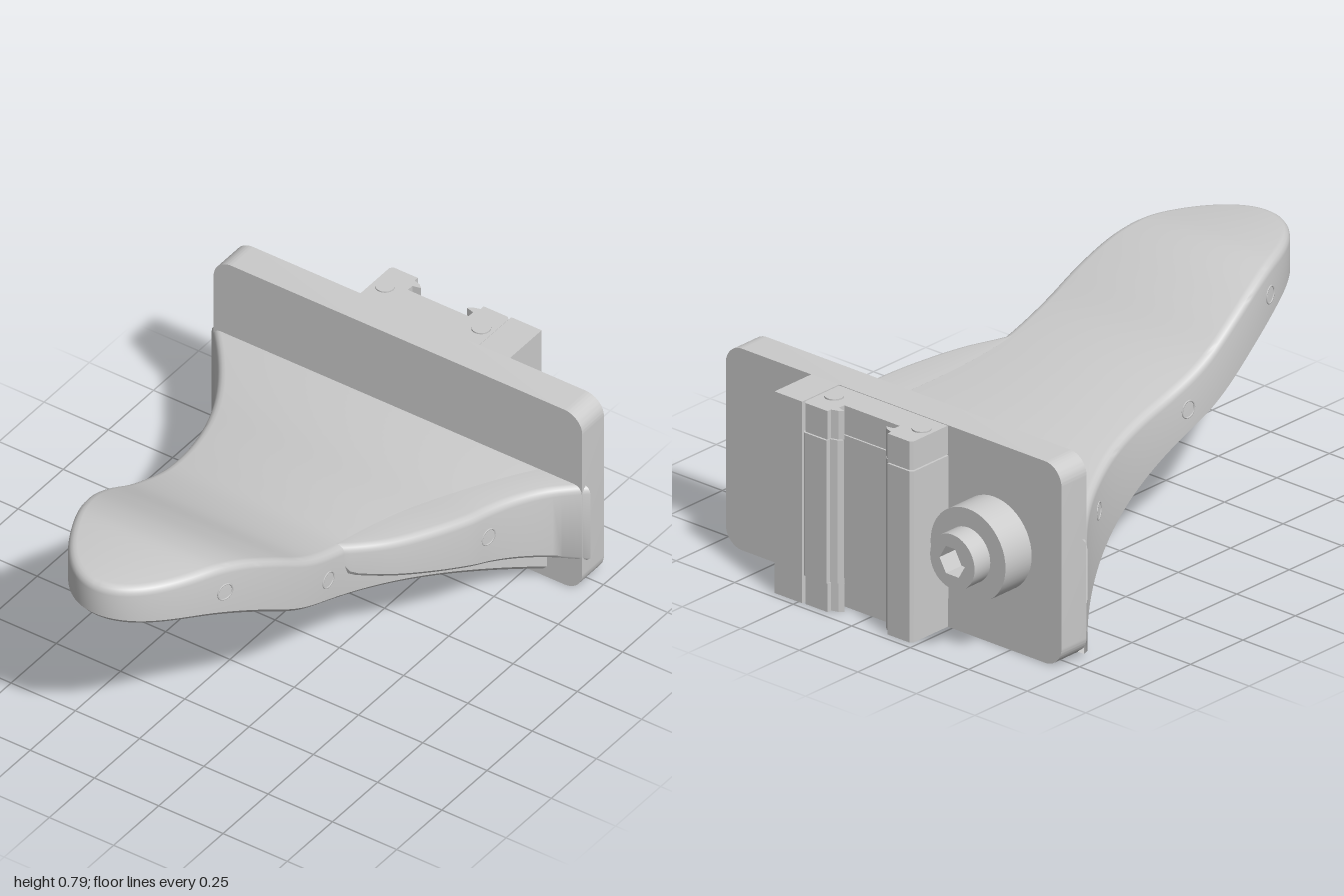
import * as THREE from 'three';
import { toCreasedNormals } from 'three/addons/utils/BufferGeometryUtils.js';

const grey = new THREE.MeshStandardMaterial({ color: 0xcccccc, side: THREE.DoubleSide });

function add(parent, name, geometry, x = 0, y = 0, z = 0) {
  const mesh = new THREE.Mesh(geometry, grey);
  mesh.name = name;
  mesh.position.set(x, y, z);
  parent.add(mesh);
  return mesh;
}

// Smooth height curve through [z, y] points
function heightCurve(pts) {
  const n = pts.length - 1;
  const slope = (i) => {
    const a = pts[Math.max(0, i - 1)], b = pts[Math.min(n, i + 1)];
    return (b[1] - a[1]) / (b[0] - a[0]);
  };
  return (z) => {
    let i = 0;
    while (i < n - 1 && z > pts[i + 1][0]) i++;
    const [z0, y0] = pts[i], [z1, y1] = pts[i + 1];
    const h = z1 - z0, t = (z - z0) / h, t2 = t * t, t3 = t2 * t;
    return (2 * t3 - 3 * t2 + 1) * y0 + (t3 - 2 * t2 + t) * h * slope(i)
      + (3 * t2 - 2 * t3) * y1 + (t3 - t2) * h * slope(i + 1);
  };
}

const topY = heightCurve([[-0.7, 0.42], [-0.4, 0.45], [-0.2, 0.48], [0, 0.51], [0.14, 0.537],
  [0.3, 0.595], [0.46, 0.685], [0.58, 0.745], [0.68, 0.777], [0.76, 0.785], [1, 0.785]]);
const bottomY = heightCurve([[-0.7, 0.02], [0, 0.281], [0.2, 0.357], [0.36, 0.418], [0.59, 0.54],
  [0.76, 0.605], [1, 0.65]]);
const wingBottomY = heightCurve([[-0.7, 0.12], [-0.3, 0.264], [0.08, 0.4], [0.11, 0.42], [0.13, 0.46]]);
const wingX = heightCurve([[-0.7, 0.735], [-0.68, 0.715], [-0.6, 0.648], [-0.5, 0.597], [-0.4, 0.567],
  [-0.3, 0.55], [-0.15, 0.505], [0, 0.44], [0.13, 0.35]]);

// Half width of the saddle: elliptical nose, flaring toward the plate
function halfWidth(z, flare) {
  if (z > 0.2) return 0.355 * Math.sqrt(Math.max(0, 1 - ((z - 0.2) / 0.8) ** 2));
  return 0.355 + flare * ((0.2 - z) / 0.88) ** 2.2;
}

// Skin over equal rings, each clockwise when seen from the front
function loft(rings) {
  const n = rings[0].length, index = [];
  for (let i = 0; i < rings.length - 1; i++) {
    for (let j = 0; j < n; j++) {
      const a = i * n + j, b = i * n + (j + 1) % n, c = b + n, d = a + n;
      index.push(a, d, b, b, d, c);
    }
  }
  const g = new THREE.BufferGeometry();
  g.setAttribute('position', new THREE.Float32BufferAttribute(rings.flat(2), 3));
  g.setIndex(index);
  return toCreasedNormals(g.toNonIndexed(), 0.6);
}

// Fillet steps: [inset, drop]
const R = 0.03;
const fillet = [0, 1, 2, 3, 4].map((k) => {
  const a = (k / 4) * Math.PI / 2;
  return [R * (1 - Math.cos(a)), R * (1 - Math.sin(a))];
});

function saddleGeometry() {
  const rings = [];
  const N = 80;
  for (let i = 0; i <= N; i++) {
    const z = -0.7 + 1.7 * Math.sin((i / N) * Math.PI / 2);
    const point = (side, dx, dz, height) => {
      const w = halfWidth(z, side < 0 ? 0.365 : 0.225);
      const zz = -0.7 + (z + 0.7) * (1 - dz / 1.7);
      return [side * (w - dx * Math.min(1, w / 0.355)), height(zz), zz];
    };
    const half = (side) => [
      point(side, 0.115, 0.16, (q) => Math.max(topY(q) - 0.125, bottomY(q))),
      point(side, 0.115, 0.16, bottomY),
      point(side, 0.015, 0.015, bottomY),
      point(side, 0, 0, (q) => bottomY(q) + 0.015),
      ...fillet.map(([inset, drop]) => point(side, inset, inset, (q) => topY(q) - drop)),
    ];
    rings.push([...half(-1), ...half(1).reverse()]);
  }
  return loft(rings);
}

function wingGeometry() {
  const rings = [];
  for (let i = 0; i <= 36; i++) {
    const z = -0.7 + 0.83 * (i / 36);
    const inner = halfWidth(z, 0.225) - R, outer = wingX(z), low = wingBottomY(z);
    rings.push([
      [inner, low, z], [inner, topY(z), z],
      ...fillet.slice().reverse().map(([inset, drop]) => [outer - inset, topY(z) - drop, z]),
      [outer, low + 0.012, z], [outer - 0.012, low, z],
    ]);
  }
  return loft(rings);
}

function plateGeometry() {
  const w = 0.717, h = 0.705, r = 0.07, s = new THREE.Shape();
  s.absarc(w - r, r, r, -Math.PI / 2, 0);
  s.absarc(w - r, h - r, r, 0, Math.PI / 2);
  s.absarc(-w + r, h - r, r, Math.PI / 2, Math.PI);
  s.absarc(-w + r, r, r, Math.PI, Math.PI * 1.5);
  const g = new THREE.ExtrudeGeometry(s, { depth: 0.12, bevelEnabled: false, curveSegments: 10 });
  return toCreasedNormals(g, 0.5);
}

// Round head with a hexagonal socket, along z
function socketGeometry(radius, hex, depth) {
  const s = new THREE.Shape().absarc(0, 0, radius, 0, Math.PI * 2);
  const hole = new THREE.Path();
  for (let i = 0; i <= 6; i++) {
    const a = -i * Math.PI / 3;
    hole[i ? 'lineTo' : 'moveTo'](hex * Math.cos(a), hex * Math.sin(a));
  }
  s.holes.push(hole);
  const g = new THREE.ExtrudeGeometry(s, { depth, bevelEnabled: false, curveSegments: 20 });
  return toCreasedNormals(g, 0.5);
}

// Channel rail section with two inward lips, extruded upward
function railGeometry(height, scale) {
  const side = [[0.235, 0], [0.235, 0.165], [0.225, 0.175], [0.13, 0.175], [0.13, 0.158],
    [0.105, 0.15], [0.09, 0.137], [0.12, 0.13], [0.12, 0.105]];
  const all = [...side, ...side.map(([x, d]) => [-x, d]).reverse()];
  const s = new THREE.Shape(all.map(([x, d]) => new THREE.Vector2(x * scale, d * scale)));
  return new THREE.ExtrudeGeometry(s, { depth: height, bevelEnabled: false }).rotateX(-Math.PI / 2);
}

export function createModel() {
  const model = new THREE.Group();
  model.name = 'saddleBracket';

  add(model, 'mountingPlate', plateGeometry(), 0, 0, -0.8);
  add(model, 'saddleShell', saddleGeometry());
  add(model, 'sideWing', wingGeometry());

  // Rims of the cross holes, lying on the side walls
  for (const side of [-1, 1]) {
    for (const [z, y] of [[0.68, 0.675], [0.21, 0.455], [-0.38, 0.345]]) {
      const outline = (q) => (side > 0 && q < 0 ? wingX(q) : halfWidth(q, 0.365));
      const dx = (outline(z + 0.02) - outline(z - 0.02)) / 0.04;
      const rim = add(model, 'holeRim', new THREE.TorusGeometry(0.029, 0.003, 6, 24), side * outline(z), y, z);
      rim.rotation.y = Math.atan2(side, -dx);
    }
  }

  // Plate screws
  for (const x of [-0.177, 0.177]) {
    add(model, 'plateScrew', socketGeometry(0.052, 0.024, 0.008), x, 0.24, -0.684);
  }

  // Rear rail with end caps and cap screws
  const rail = new THREE.Group();
  rail.name = 'rearRail';
  rail.position.z = -0.8;
  model.add(rail);
  add(rail, 'railBody', railGeometry(0.5, 1), 0, 0.1, 0);
  for (const y of [0, 0.603]) add(rail, 'railEndCap', railGeometry(0.1, 0.985), 0, y, 0);
  for (const x of [-0.187, 0.187]) {
    for (const y of [0.004, 0.704]) {
      add(rail, 'capScrew', new THREE.CylinderGeometry(0.032, 0.032, 0.008, 20), x, y, -0.075);
    }
  }
  add(model, 'stopBlock', new THREE.BoxGeometry(0.118, 0.705, 0.175), 0.293, 0.3525, -0.8875);

  // Stepped boss with a hexagonal socket
  const boss = new THREE.CylinderGeometry(0.16, 0.16, 0.125, 48).rotateX(Math.PI / 2);
  add(model, 'bossBase', boss, -0.43, 0.355, -0.8625);
  add(model, 'bossHead', socketGeometry(0.095, 0.055, 0.08), -0.43, 0.355, -1);

  return model;
}
